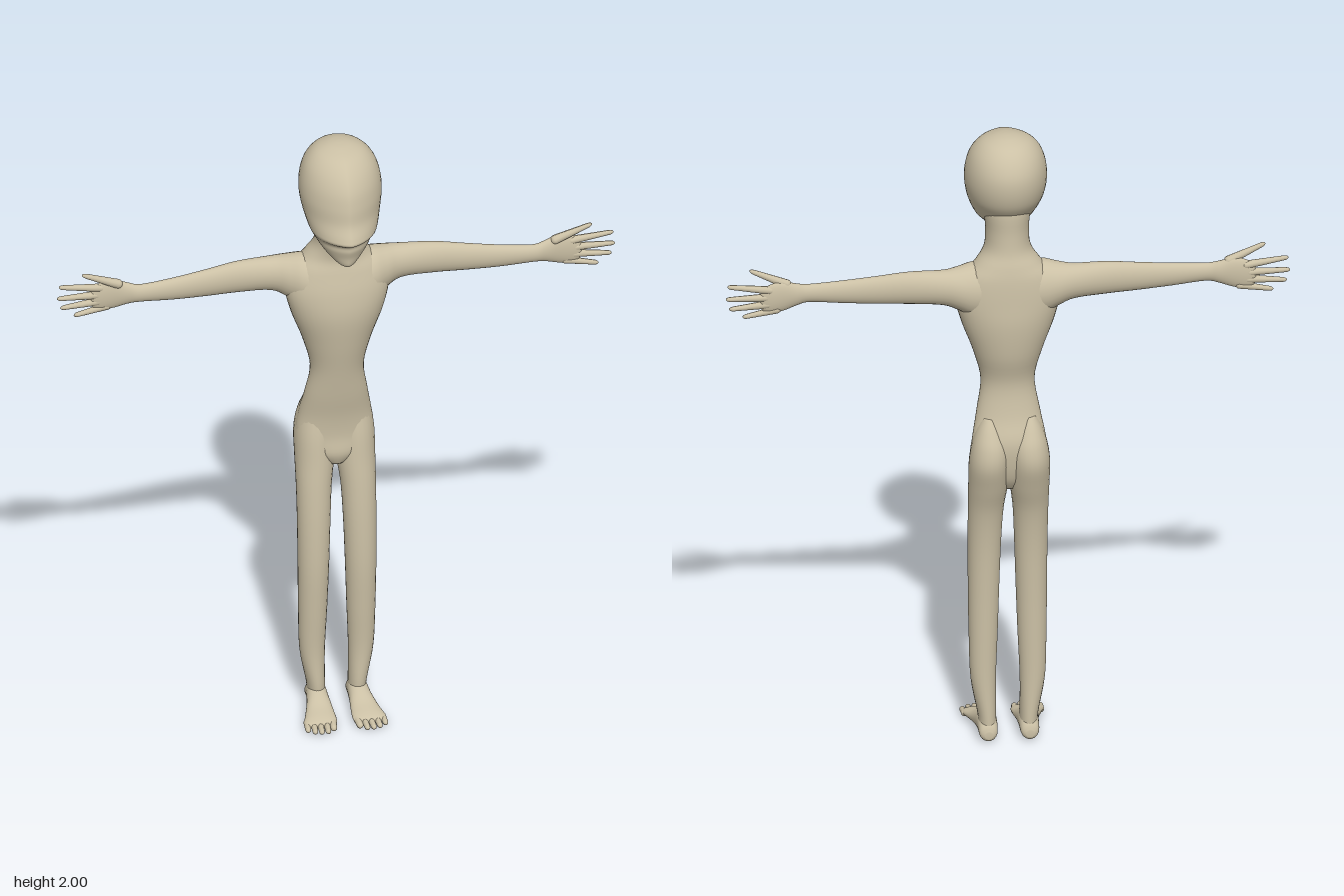
import * as THREE from 'three';

const skin = new THREE.MeshStandardMaterial({ color: 0xcbc0a5, roughness: 0.8 });

// Maps (a, b, t) of a section to x, y, z for lofts that run along each axis
const alongY = (a, b, t) => [a, t, b];
const alongX = (a, b, t) => [t, b, a];
const alongZ = (a, b, t) => [b, a, t];

// Catmull-Rom blend of whole section rows
function blend(rows, i, u) {
  const at = k => rows[Math.min(Math.max(k, 0), rows.length - 1)];
  const [p, q, r, s] = [at(i - 1), at(i), at(i + 1), at(i + 2)];
  return q.map((_, k) => 0.5 * (2 * q[k] + (r[k] - p[k]) * u
    + (2 * p[k] - 5 * q[k] + 4 * r[k] - s[k]) * u * u
    + (3 * q[k] - p[k] - 3 * r[k] + s[k]) * u * u * u));
}

// Smooth skin through sections [t, aMin, aMax, bMin, bMax]; pinch > 1 sharpens the +b side
function loft(name, map, rows, { side = 1, pinch = 1, steps = 5, n = 32 } = {}) {
  const rings = [];
  for (let i = 0; i < rows.length - 1; i++)
    for (let k = 0; k < steps; k++) rings.push(blend(rows, i, k / steps));
  rings.push(rows[rows.length - 1]);
  const pos = [], idx = [];
  const put = (a, b, t) => { const [x, y, z] = map(a, b, t); pos.push(x * side, y, z); };
  const tri = (a, b, c) => side > 0 ? idx.push(a, b, c) : idx.push(a, c, b);
  for (const [t, a0, a1, b0, b1] of rings)
    for (let j = 0; j < n; j++) {
      const w = j / n * Math.PI * 2, c = Math.cos(w), s = Math.sin(w);
      const e = s > 0 ? Math.sign(c) * Math.pow(Math.abs(c), pinch) : c;
      put((a0 + a1) / 2 + (a1 - a0) / 2 * e, (b0 + b1) / 2 + (b1 - b0) / 2 * s, t);
    }
  for (const [t, a0, a1, b0, b1] of [rings[0], rings[rings.length - 1]])
    put((a0 + a1) / 2, (b0 + b1) / 2, t);
  const last = (rings.length - 1) * n, c0 = last + n;
  for (let j = 0; j < n; j++) {
    const k = (j + 1) % n;
    for (let r = 0; r < last; r += n) {
      tri(r + j, r + n + j, r + k);
      tri(r + k, r + n + j, r + n + k);
    }
    tri(c0, j, k);
    tri(c0 + 1, last + k, last + j);
  }
  const g = new THREE.BufferGeometry();
  g.setAttribute('position', new THREE.Float32BufferAttribute(pos, 3));
  g.setIndex(idx);
  g.computeVertexNormals();
  const mesh = new THREE.Mesh(g, skin);
  mesh.name = name;
  return mesh;
}

// Tapered, round-ended finger or toe between two points
function digit(name, from, to, r0, r1, side) {
  const a = new THREE.Vector3(...from), b = new THREE.Vector3(...to);
  a.x *= side; b.x *= side;
  const len = a.distanceTo(b);
  const g = new THREE.CapsuleGeometry(r0, len - 2 * r1, 5, 12, 4);
  const p = g.attributes.position;
  for (let i = 0; i < p.count; i++) {
    const f = THREE.MathUtils.lerp(1, r1 / r0, THREE.MathUtils.clamp(p.getY(i) / len + 0.5, 0, 1));
    p.setX(i, p.getX(i) * f);
    p.setZ(i, p.getZ(i) * f);
  }
  g.computeVertexNormals();
  const mesh = new THREE.Mesh(g, skin);
  mesh.name = name;
  mesh.position.lerpVectors(a, b, 0.5);
  mesh.quaternion.setFromUnitVectors(new THREE.Vector3(0, 1, 0), b.sub(a).normalize());
  return mesh;
}

// Centred section: height, half width, back z, front z
const mid = ([y, w, back, front]) => [y, -w, w, back, front];

function createArm(side) {
  const arm = new THREE.Group();
  arm.name = side > 0 ? 'leftArm' : 'rightArm';
  arm.add(loft('armAndPalm', alongX, [
    [0.02, -0.13, 0.01, 1.41, 1.59],
    [0.10, -0.13, 0.01, 1.415, 1.592],
    [0.15, -0.128, -0.015, 1.445, 1.585],
    [0.20, -0.12, -0.038, 1.468, 1.58],
    [0.30, -0.105, -0.042, 1.474, 1.578],
    [0.40, -0.09, -0.04, 1.476, 1.565],
    [0.50, -0.078, -0.036, 1.48, 1.553],
    [0.60, -0.07, -0.034, 1.487, 1.545],
    [0.64, -0.076, -0.04, 1.481, 1.552],
    [0.68, -0.08, -0.047, 1.468, 1.564],
    [0.72, -0.08, -0.053, 1.462, 1.558],
    [0.745, -0.076, -0.057, 1.472, 1.54],
    [0.752, -0.07, -0.062, 1.49, 1.525],
  ], { side, n: 24, steps: 4 }));
  const fingers = [
    ['thumb', [0.665, 1.55, -0.058], [0.775, 1.597, -0.05], 0.015],
    ['indexFinger', [0.715, 1.538, -0.067], [0.845, 1.555, -0.064], 0.013],
    ['middleFinger', [0.725, 1.515, -0.067], [0.85, 1.515, -0.066], 0.013],
    ['ringFinger', [0.72, 1.493, -0.067], [0.84, 1.482, -0.066], 0.013],
    ['littleFinger', [0.695, 1.474, -0.067], [0.8, 1.453, -0.064], 0.012],
  ];
  for (const [name, from, to, r] of fingers) arm.add(digit(name, from, to, r, 0.007, side));
  return arm;
}

function createLeg(side) {
  const leg = new THREE.Group();
  leg.name = side > 0 ? 'leftLeg' : 'rightLeg';
  leg.add(loft('thighAndShin', alongY, [
    [0.03, 0.035, 0.09, -0.105, -0.025],
    [0.08, 0.036, 0.092, -0.104, -0.018],
    [0.20, 0.036, 0.113, -0.1, -0.02],
    [0.35, 0.03, 0.118, -0.099, -0.01],
    [0.50, 0.025, 0.12, -0.1, -0.002],
    [0.65, 0.02, 0.121, -0.106, -0.005],
    [0.77, 0.014, 0.122, -0.122, -0.013],
    [0.86, 0.003, 0.123, -0.15, -0.022],
    [0.94, 0.0, 0.123, -0.173, -0.03],
    [1.0, 0.003, 0.115, -0.168, -0.04],
    [1.05, 0.02, 0.1, -0.145, -0.05],
    [1.09, 0.04, 0.08, -0.12, -0.07],
  ], { side, n: 24 }));
  leg.add(loft('foot', alongZ, [
    [-0.112, 0.012, 0.035, 0.05, 0.075],
    [-0.1, 0.002, 0.06, 0.036, 0.09],
    [-0.06, 0.002, 0.085, 0.032, 0.094],
    [-0.015, 0.006, 0.07, 0.03, 0.1],
    [0.03, 0.006, 0.048, 0.026, 0.112],
    [0.07, 0.003, 0.036, 0.024, 0.124],
    [0.09, 0.005, 0.028, 0.03, 0.122],
    [0.098, 0.012, 0.02, 0.05, 0.105],
  ], { side, n: 24 }));
  // Toes fan out from the big toe on the inner side
  [0.115, 0.13, 0.13, 0.125, 0.112].forEach((tip, i) => {
    const x = 0.037 + i * 0.0195;
    const r = i === 0 ? 0.0125 : 0.0105;
    leg.add(digit('toe' + (i + 1), [x, 0.018, 0.06], [x + 0.004, 0.012, tip], r, r * 0.8, side));
  });
  return leg;
}

export function createModel() {
  const body = new THREE.Group();
  body.name = 'body';

  // Neck, chest, waist and hips
  body.add(loft('torso', alongY, [
    [0.85, 0.03, -0.11, -0.04],
    [0.89, 0.09, -0.135, -0.026],
    [0.95, 0.118, -0.15, -0.03],
    [1.02, 0.111, -0.152, -0.024],
    [1.10, 0.096, -0.128, -0.008],
    [1.20, 0.082, -0.116, 0.01],
    [1.30, 0.106, -0.14, 0.03],
    [1.40, 0.142, -0.151, 0.044],
    [1.48, 0.158, -0.148, 0.039],
    [1.55, 0.138, -0.142, 0.024],
    [1.595, 0.1, -0.133, 0.014],
    [1.64, 0.071, -0.12, 0.022],
    [1.70, 0.066, -0.115, 0.035],
    [1.78, 0.07, -0.115, 0.04],
    [1.83, 0.04, -0.09, 0.02],
  ].map(mid), { n: 40 }));

  // Head with a pointed chin and a ridge down the face to the nose
  body.add(loft('head', alongY, [
    [1.638, 0.01, 0.09, 0.118],
    [1.648, 0.03, 0.05, 0.131],
    [1.675, 0.057, 0.01, 0.136],
    [1.70, 0.076, -0.03, 0.144],
    [1.722, 0.09, -0.065, 0.148],
    [1.742, 0.1, -0.09, 0.178],
    [1.76, 0.107, -0.108, 0.176],
    [1.80, 0.118, -0.136, 0.158],
    [1.85, 0.125, -0.15, 0.15],
    [1.90, 0.121, -0.149, 0.136],
    [1.945, 0.106, -0.13, 0.108],
    [1.978, 0.078, -0.1, 0.07],
    [1.995, 0.04, -0.062, 0.022],
    [2.0, 0.008, -0.03, -0.012],
  ].map(mid), { pinch: 1.35, n: 48 }));

  for (const side of [1, -1]) body.add(createArm(side), createLeg(side));
  return body;
}
